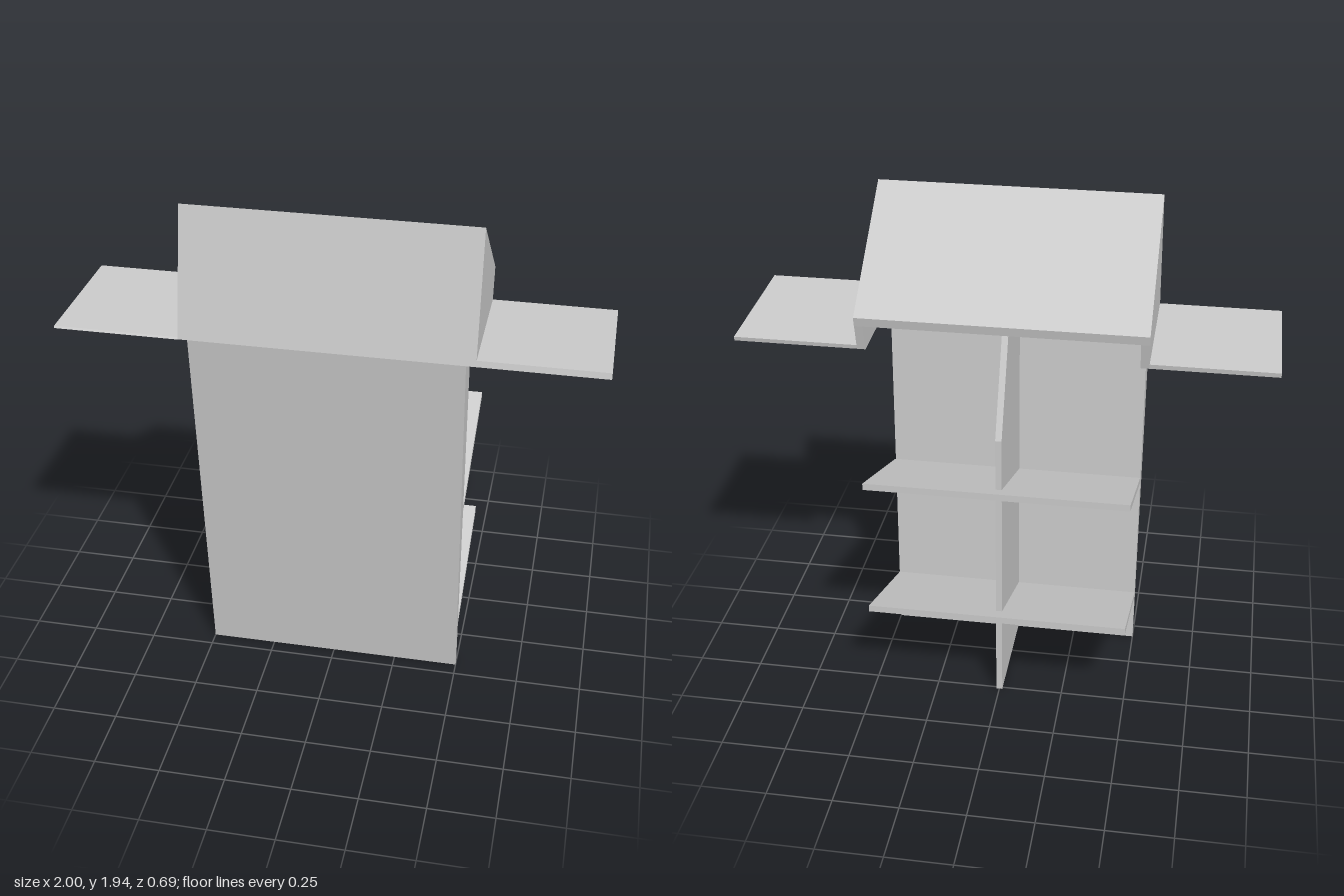
import * as THREE from 'three';

const material = new THREE.MeshStandardMaterial({ color: 0xcccccc, flatShading: true });

// Extrudes a side profile of [z, y] points across the width from x0 to x1.
function slab(name, profile, x0, x1) {
  const shape = new THREE.Shape(profile.map(([z, y]) => new THREE.Vector2(z, y)));
  const geometry = new THREE.ExtrudeGeometry(shape, { depth: x1 - x0, bevelEnabled: false });
  geometry.rotateY(-Math.PI / 2);
  geometry.translate(x1, 0, 0);
  const mesh = new THREE.Mesh(geometry, material);
  mesh.name = name;
  return mesh;
}

export function createModel() {
  const model = new THREE.Group();
  model.name = 'displayStand';

  // Leaning front panel, a wedge that thickens towards the top
  model.add(slab('frontPanel', [[0.195, 0], [0.345, 1.46], [0.215, 1.46], [0.175, 0]], -0.5, 0.5));

  // Upright fin that carries the shelves and reaches up into the hood
  model.add(slab('centreFin',
    [[0.185, 0], [0.185, 1.62], [-0.042, 1.62], [-0.26, 1.14], [-0.26, 0]], -0.012, 0.012));

  // Two tilted shelves
  for (const y of [0.195, 0.747]) {
    model.add(slab('shelf',
      [[0.185, y], [0.185, y + 0.025], [-0.345, y + 0.217], [-0.345, y + 0.19]], -0.5, 0.5));
  }

  // Hood: folded front and roof, open underneath
  const hood = new THREE.Group();
  hood.name = 'hood';
  hood.add(slab('hoodShell',
    [[0.345, 1.46], [0.245, 1.94], [-0.22, 1.58], [-0.213, 1.545], [0.225, 1.885], [0.312, 1.46]],
    -0.535, 0.535));

  // Hood cheeks
  const cheek = [[0.345, 1.46], [0.245, 1.94], [-0.22, 1.58], [-0.187, 1.442]];
  hood.add(slab('leftCheek', cheek, 0.503, 0.535));
  hood.add(slab('rightCheek', cheek, -0.535, -0.503));
  model.add(hood);

  // Side wings; the right one has a thinner front edge
  model.add(slab('leftWing',
    [[0.345, 1.46], [0.34, 1.483], [-0.19, 1.458], [-0.187, 1.442]], 0.535, 1));
  model.add(slab('rightWing',
    [[0.345, 1.459], [0.34, 1.466], [-0.19, 1.46], [-0.187, 1.442]], -1, -0.535));

  return model;
}
